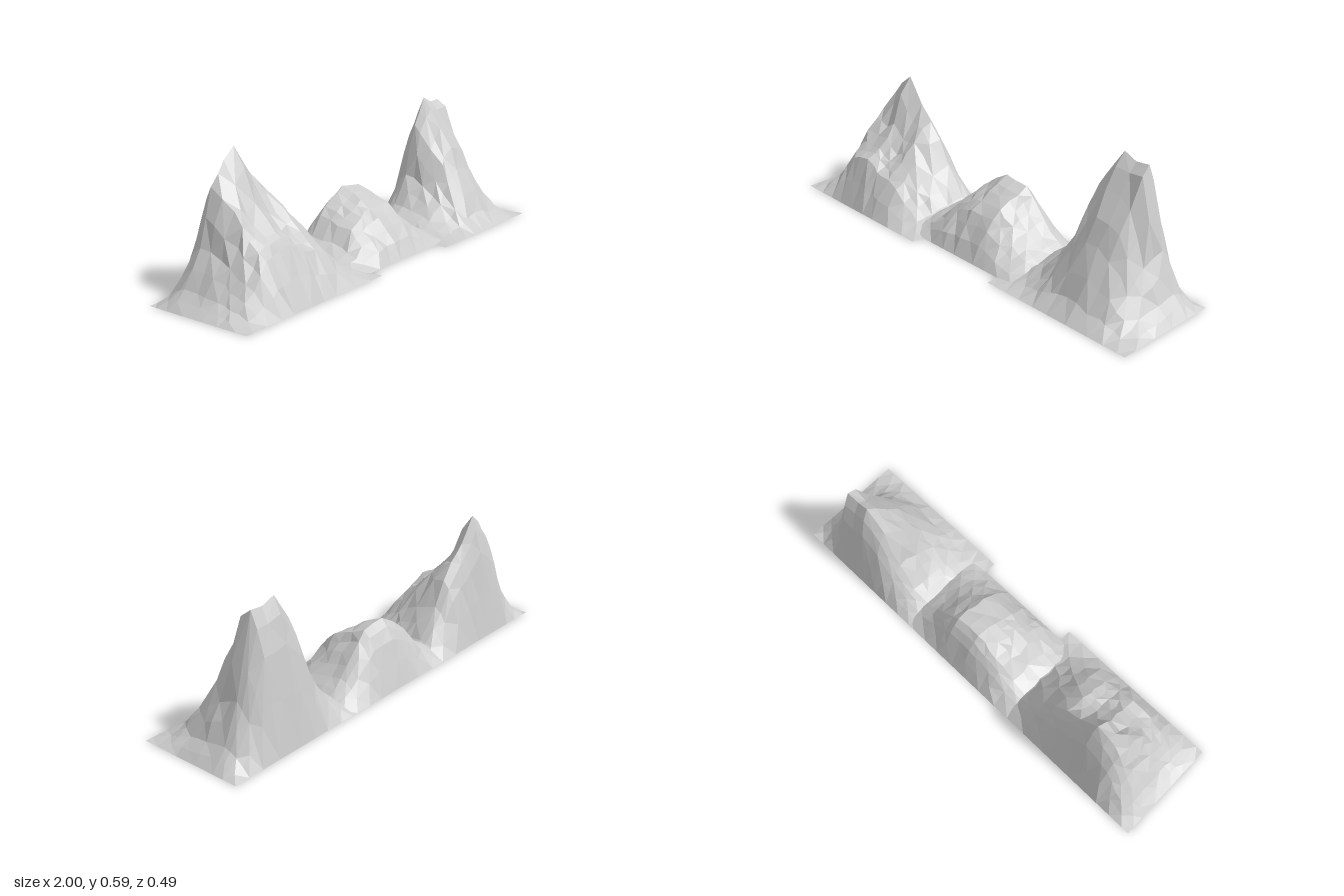
import * as THREE from 'three';

const rock = new THREE.MeshStandardMaterial({ color: 0xcccccc, flatShading: true, side: THREE.DoubleSide });
rock.name = 'grey rock';

// small seeded generator, returns -1..1
function seeded(seed) {
  let s = seed;
  return () => {
    s = (s * 16807) % 2147483647;
    return (s / 2147483647) * 2 - 1;
  };
}

// insert a midpoint between neighbouring columns that lie far apart
function refine(columns) {
  const out = [];
  columns.forEach((c, i) => {
    out.push(c);
    const n = columns[i + 1];
    if (n && n[0] - c[0] > 0.065) out.push(c.map((v, k) => (v + n[k]) / 2));
  });
  return out;
}

// steep back slope shared by all mountains: [z, share of ridge height]
const back = [[-0.152, 0.89], [-0.18, 0.7], [-0.21, 0.38], [-0.245, 0]];

// columns: [x, ridge height, blend from flank to face]
// front rows: [z, face share, flank share] of the ridge height, ending on the crest
function mountain(name, seed, columns, front) {
  const rnd = seeded(seed);
  const cols = refine(columns);
  const rows = [...front, ...back.map(([z, s]) => [z, s, s])];
  const crest = front.length - 1;
  const points = rows.map(([z, face, flank], j) => cols.map(([x, ridge, blend], i) => {
    const border = i === 0 || j === 0 || i === cols.length - 1 || j === rows.length - 1;
    const h = ridge * THREE.MathUtils.lerp(flank, face, blend);
    const rx = rnd(), ry = rnd(), rz = rnd();
    if (border) return [x, h, z];
    if (j === crest) return [x, h, z + rz * 0.006];
    const rough = j < crest ? 1 : 0.35;
    return [x + rx * 0.009 * rough, h * (1 + ry * 0.03 * rough), z + rz * 0.008 * rough];
  }));

  // triangles with alternating diagonals
  const pos = [];
  for (let j = 0; j < rows.length - 1; j++) {
    for (let i = 0; i < cols.length - 1; i++) {
      const a = points[j][i], b = points[j][i + 1];
      const c = points[j + 1][i + 1], d = points[j + 1][i];
      const tris = (i + j) % 2 ? [a, b, c, a, c, d] : [a, b, d, b, c, d];
      tris.forEach(p => pos.push(...p));
    }
  }
  const geo = new THREE.BufferGeometry();
  geo.setAttribute('position', new THREE.Float32BufferAttribute(pos, 3));
  geo.computeVertexNormals();
  const mesh = new THREE.Mesh(geo, rock);
  mesh.name = name;
  return mesh;
}

export function createModel() {
  const group = new THREE.Group();
  group.name = 'mountainRange';

  // broad peak with a hollow and ledge between two forward shoulders
  group.add(mountain('ledgePeak', 17, [
    [-1, 0, 0], [-0.93, 0.07, 0], [-0.85, 0.21, 0], [-0.78, 0.43, 0.2], [-0.71, 0.52, 0.9],
    [-0.65, 0.565, 1], [-0.57, 0.45, 0.9], [-0.5, 0.38, 0.2], [-0.44, 0.31, 0],
    [-0.38, 0.2, 0], [-0.28, 0.07, 0], [-0.2, 0, 0],
  ], [
    [0.245, 0, 0], [0.195, 0.2, 0.22], [0.145, 0.4, 0.45], [0.105, 0.42, 0.54], [0.07, 0.46, 0.63],
    [0.03, 0.52, 0.74], [-0.02, 0.62, 0.85], [-0.07, 0.84, 0.94], [-0.125, 1, 1],
  ]));

  // low rounded hill between the peaks, set back at the front
  group.add(mountain('middleHill', 91, [
    [-0.28, 0.06, 0.5], [-0.2, 0.1, 0.5], [-0.14, 0.18, 0.6], [-0.06, 0.24, 0.8], [0.01, 0.28, 1],
    [0.13, 0.265, 0.5], [0.2, 0.19, 0.7], [0.28, 0.1, 0.5], [0.36, 0.04, 0.5],
  ], [
    [0.19, 0, 0], [0.15, 0.25, 0.3], [0.11, 0.44, 0.53], [0.07, 0.6, 0.7], [0.03, 0.73, 0.81],
    [-0.02, 0.83, 0.9], [-0.07, 0.92, 0.96], [-0.125, 1, 1],
  ]));

  // tall steep peak, slumped below the right side of its summit
  group.add(mountain('tallPeak', 53, [
    [0.28, 0, 0.5], [0.35, 0.05, 0.5], [0.42, 0.11, 0.5], [0.5, 0.24, 0.7], [0.57, 0.47, 1],
    [0.65, 0.59, 1], [0.71, 0.565, 0.8], [0.77, 0.57, 1.4],
    [0.82, 0.39, 0.8], [0.86, 0.24, 0.3], [0.93, 0.08, 0], [1, 0, 0],
  ], [
    [0.245, 0, 0], [0.18, 0.11, 0.18], [0.13, 0.26, 0.37], [0.07, 0.45, 0.57], [0.03, 0.62, 0.72],
    [-0.03, 0.77, 0.86], [-0.08, 0.93, 0.95], [-0.125, 1, 1],
  ]));

  return group;
}
